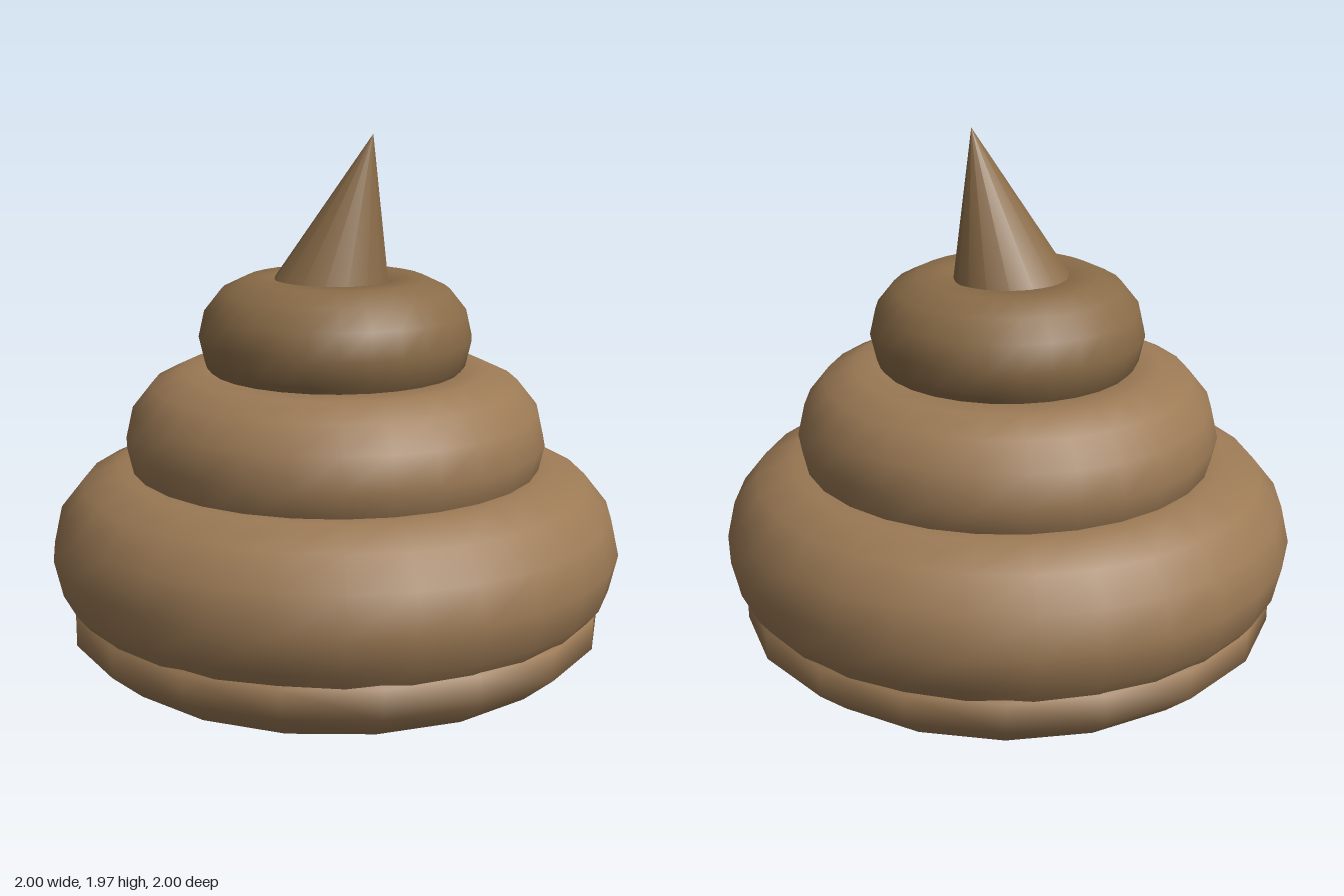
import * as THREE from 'three';

export function createModel() {
  const model = new THREE.Group();
  const brown = new THREE.MeshStandardMaterial({ color: 0x9c7a55 });
  const darkBrown = new THREE.MeshStandardMaterial({ color: 0x8a6c48 });

  function add(name, geometry, material, x, y) {
    const mesh = new THREE.Mesh(geometry, material);
    mesh.name = name;
    mesh.position.set(x, y, 0);
    model.add(mesh);
    return mesh;
  }

  // Flattened ball closing the underside
  const base = add('base', new THREE.SphereGeometry(0.955, 18, 9), brown, 0, 0.293);
  base.rotation.y = Math.PI / 2;
  base.scale.y = 0.293 / 0.955;

  // Stacked rings: name, ring radius, tube radius, height, material
  const coils = [
    ['lowerCoil', 0.7, 0.3, 0.53, brown],
    ['middleCoil', 0.48, 0.255, 0.91, brown],
    ['upperCoil', 0.265, 0.21, 1.27, darkBrown],
  ];
  for (const [name, radius, tube, y, material] of coils) {
    const ring = new THREE.TorusGeometry(radius, tube, 14, 28).rotateX(-Math.PI / 2);
    add(name, ring, material, 0, y);
  }

  // Leaning pointed tip, its foot sunk into the top ring
  const height = 0.64, lean = 0.25;
  const cone = new THREE.ConeGeometry(0.24, height, 16).translate(0, -height / 2, 0);
  const tip = add('tip', cone, darkBrown, 0.13, 1.965);
  tip.rotation.z = -lean;

  return model;
}
